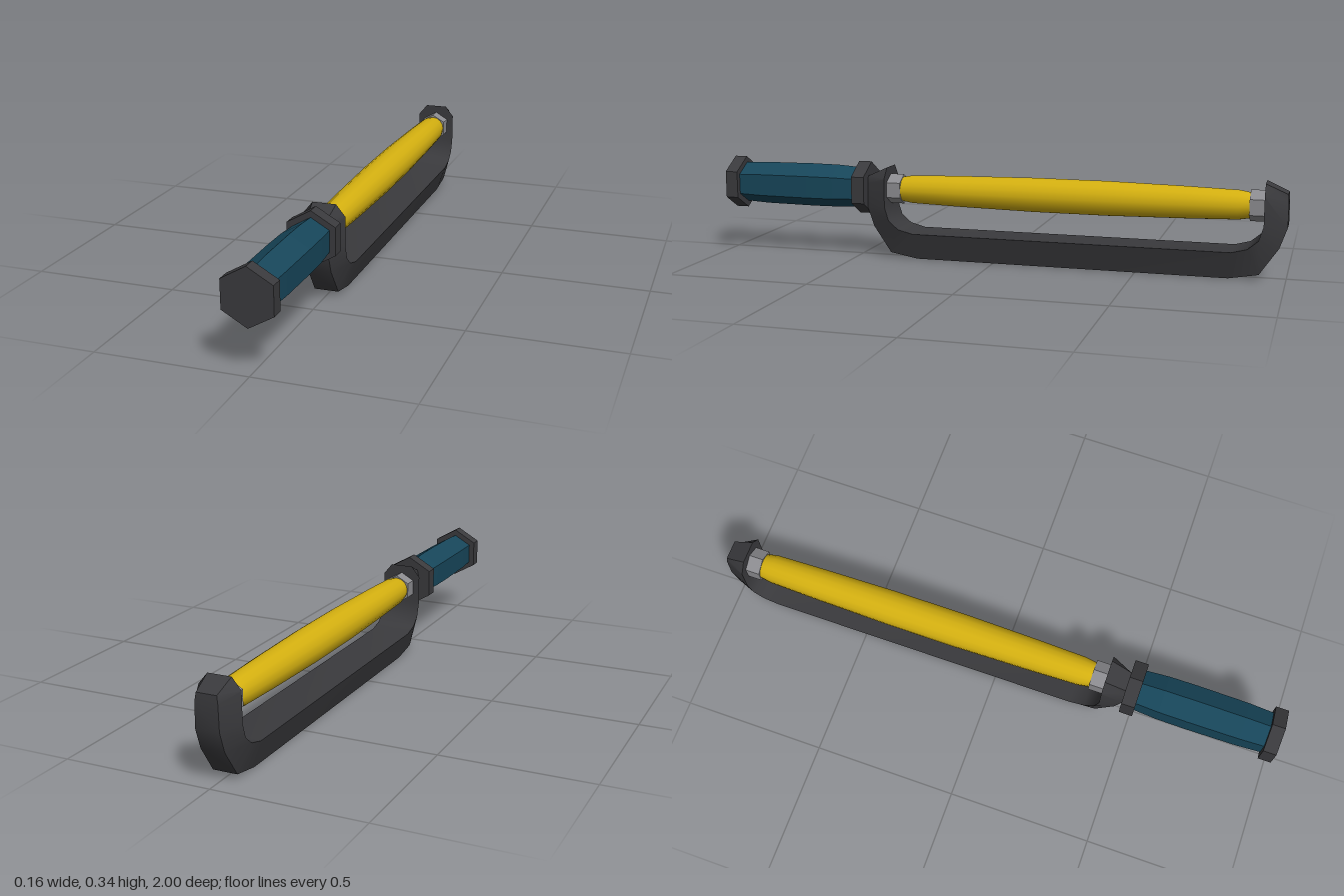
import * as THREE from 'three';
import { toCreasedNormals } from 'three/addons/utils/BufferGeometryUtils.js';

const AXIS_Y = 0.243; // height of the handle and rod axis
const MID_Z = -0.2675; // middle of the frame along z

const mat = (color, flatShading = true) => new THREE.MeshStandardMaterial({ color, flatShading });

// Solid of revolution along z from [z, radius] pairs in rising z
function turned(name, profile, sides, material) {
  const geo = new THREE.LatheGeometry(profile.map(([z, r]) => new THREE.Vector2(r, z)), sides);
  geo.rotateX(Math.PI / 2);
  const mesh = new THREE.Mesh(geo, material);
  mesh.name = name;
  mesh.position.y = AXIS_Y;
  return mesh;
}

// Hexagonal prism along z with a corner pointing up
const hexPrism = (name, z0, z1, r, material) =>
  turned(name, [[z0, 0], [z0, r], [z1, r], [z1, 0]], 6, material);

// Tapered bar swept along a U, symmetric about MID_Z
function frameGeometry() {
  // [outer offset, outer y, outer half width, inner offset, inner y, inner half width]
  const half = [
    [0.730, 0.290, 0.034, 0.657, 0.323, 0.040],
    [0.7325, 0.265, 0.038, 0.657, 0.285, 0.071],
    [0.7325, 0.180, 0.040, 0.657, 0.185, 0.071],
    [0.708, 0.110, 0.040, 0.642, 0.137, 0.071],
    [0.645, 0.018, 0.041, 0.608, 0.108, 0.071],
    [0.545, 0.000, 0.040, 0.555, 0.094, 0.071],
  ];
  const stations = [
    ...half.map((s) => [1, s]),
    ...half.slice().reverse().map((s) => [-1, s]),
  ];
  const pos = [];
  for (const [side, [oz, oy, ow, iz, iy, iw]] of stations) {
    const zi = MID_Z + side * iz, zo = MID_Z + side * oz;
    pos.push(iw, iy, zi, -iw, iy, zi, -ow, oy, zo, ow, oy, zo);
  }
  const index = [0, 1, 2, 0, 2, 3];
  const last = (stations.length - 1) * 4;
  for (let s = 0; s < last; s += 4) {
    for (let j = 0; j < 4; j++) {
      const a = s + j, b = s + ((j + 1) % 4), c = b + 4, d = a + 4;
      index.push(a, d, c, a, c, b);
    }
  }
  index.push(last + 3, last + 2, last + 1, last + 3, last + 1, last);
  const geo = new THREE.BufferGeometry();
  geo.setAttribute('position', new THREE.Float32BufferAttribute(pos, 3));
  geo.setIndex(index);
  return toCreasedNormals(geo, 0.6);
}

export function createModel() {
  const model = new THREE.Group();
  model.name = 'handTool';
  const dark = mat(0x3a3a3d), steel = mat(0x8c8c90), blue = mat(0x17465a);

  // U-shaped guard frame
  const frame = new THREE.Mesh(frameGeometry(), mat(0x3a3a3d, false));
  frame.name = 'frame';
  model.add(frame);

  // Handle: hexagonal grip, bulging slightly, between two collars
  model.add(hexPrism('pommel', 0.955, 1, 0.094, dark));
  model.add(hexPrism('collar', 0.463, 0.51, 0.094, dark));
  model.add(turned('grip', [[0.5, 0.071], [0.59, 0.077], [0.69, 0.078], [0.87, 0.076], [0.96, 0.071]], 6, blue));

  // Nuts holding the rod to each arm of the frame
  model.add(hexPrism('frontNut', 0.34, 0.395, 0.053, steel));
  model.add(hexPrism('rearNut', -0.93, -0.875, 0.053, steel));

  // Round rod, thickest in the middle
  const rod = [[0.6125, 0], [0.6125, 0.043], [0.57, 0.05], [0.4, 0.055], [0.13, 0.06]];
  const profile = [
    ...rod.map(([d, r]) => [MID_Z - d, r]),
    ...rod.slice().reverse().map(([d, r]) => [MID_Z + d, r]),
  ];
  const rodMesh = turned('rod', profile, 16, mat(0xd4b010, false));
  rodMesh.geometry = toCreasedNormals(rodMesh.geometry, 0.7);
  model.add(rodMesh);

  return model;
}
